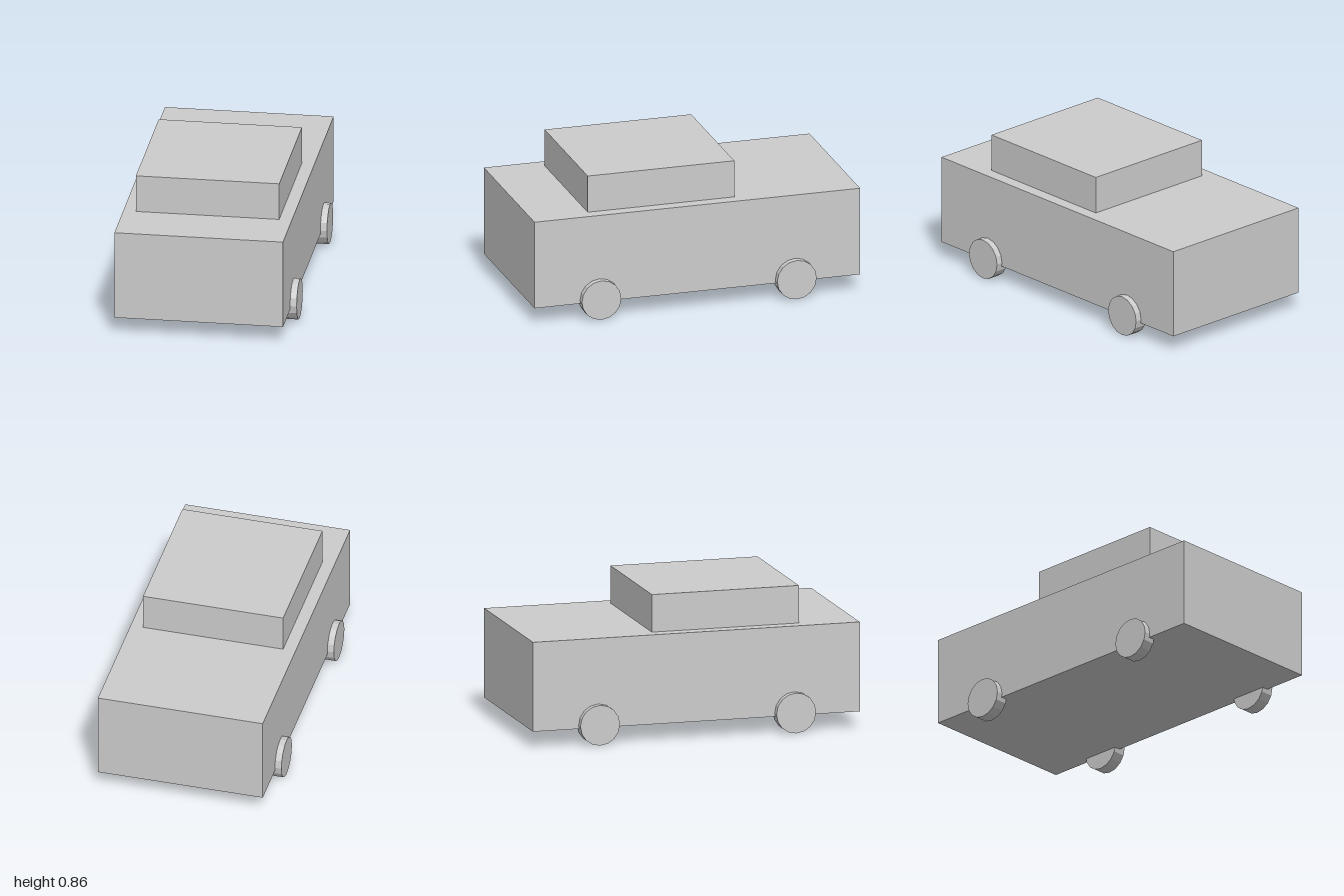
import * as THREE from 'three';

export function createModel() {
  const model = new THREE.Group();
  model.name = 'car';
  const material = new THREE.MeshStandardMaterial({ color: 0xcccccc, flatShading: true });

  const add = (name, geometry, x, y, z) => {
    const mesh = new THREE.Mesh(geometry, material);
    mesh.name = name;
    mesh.position.set(x, y, z);
    model.add(mesh);
  };

  // Body and cabin, the cabin standing on the body's top
  const bottom = 0.1, shoulder = 0.636, roof = 0.861;
  add('body', new THREE.BoxGeometry(1, shoulder - bottom, 2), 0, (bottom + shoulder) / 2, 0);
  add('cabin', new THREE.BoxGeometry(0.85, roof - shoulder, 0.9), 0, (shoulder + roof) / 2, 0.2);

  // Four wheels, half sunk into the sides
  const radius = 0.121;
  const wheel = new THREE.CylinderGeometry(radius, radius, 0.078, 16).rotateZ(Math.PI / 2);
  for (const [end, z] of [['front', 0.6], ['rear', -0.6]]) {
    for (const [side, x] of [['Left', 0.5], ['Right', -0.5]]) {
      add(`${end}${side}Wheel`, wheel, x, radius, z);
    }
  }
  return model;
}
